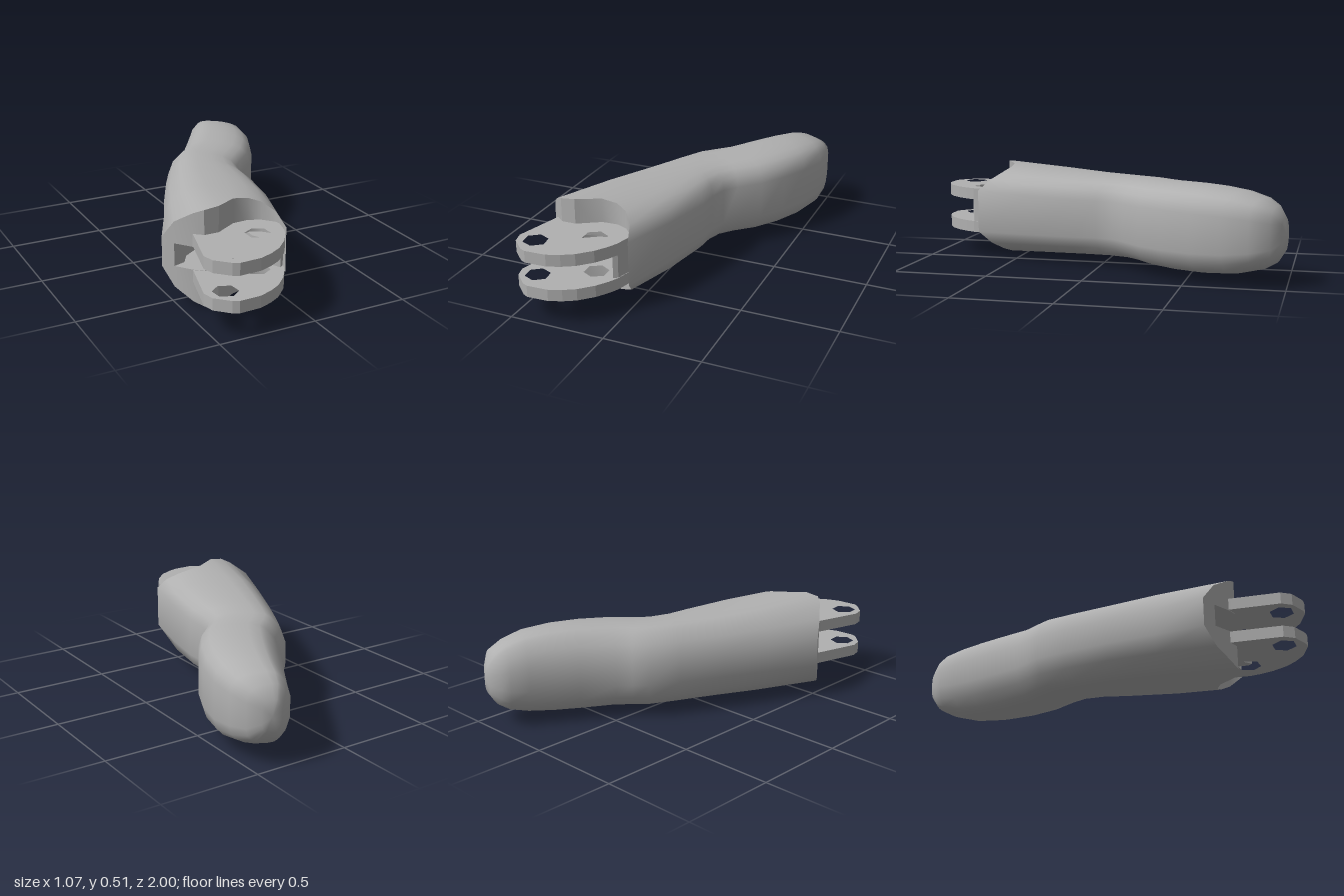
import * as THREE from 'three';
import { toCreasedNormals } from 'three/addons/utils/BufferGeometryUtils.js';

const MID = 0.255; // height of the horizontal mirror plane

// Cross-section profile: [position across, share of the half height]
const PROFILE = [[0, 0.3], [0.07, 0.66], [0.185, 0.89], [0.26, 0.97], [0.4, 1], [0.61, 0.98],
  [0.76, 0.93], [0.87, 0.85], [0.96, 0.7], [1, 0.45]];

// Stations along the finger: left x, z, right x, z, half height
const STATIONS = [
  [-0.54, 0.47, 0, 0.72, 0.255], [-0.42, 0.23, 0.09, 0.4, 0.235], [-0.31, -0.01, 0.145, 0.13, 0.222],
  [-0.2, -0.23, 0.15, 0.015, 0.218], [-0.12, -0.375, 0.175, -0.08, 0.217], [-0.06, -0.435, 0.23, -0.15, 0.217],
  [0, -0.49, 0.33, -0.25, 0.219], [0.1, -0.645, 0.415, -0.38, 0.221], [0.17, -0.755, 0.485, -0.53, 0.217],
  [0.235, -0.86, 0.53, -0.69, 0.203], [0.28, -0.94, 0.532, -0.82, 0.175], [0.315, -0.972, 0.51, -0.92, 0.14],
  [0.37, -1, 0.46, -0.97, 0.08],
];

// Depth of the open front end at each profile column, and of the recess in it
const FRONT_Z = [0.47, 0.53, 0.61, 0.645, 0.645, 0.575, 0.57, 0.595, 0.65, 0.72];
const RECESS = [0, 0, 0.1, 0.2, 0.25, 0.2, 0.12, 0, 0, 0];

function sectionPoint(s, i, side) {
  const [lx, lz, rx, rz, h] = STATIONS[s];
  const [u, k] = PROFILE[i];
  const z = s === 0 ? FRONT_Z[i] : lz + (rz - lz) * u;
  return [lx + (rx - lx) * u, MID + side * h * k, z];
}

function makeGeometry(points, index) {
  const g = new THREE.BufferGeometry();
  g.setAttribute('position', new THREE.Float32BufferAttribute(points.flat(), 3));
  g.setIndex(index);
  return g;
}

// Lofted skin, closed at the tip
function skinGeometry() {
  const points = [], index = [], n = PROFILE.length, ring = 2 * n;
  STATIONS.forEach((_, s) => {
    for (let i = 0; i < n; i++) points.push(sectionPoint(s, i, 1));
    for (let i = n - 1; i >= 0; i--) points.push(sectionPoint(s, i, -1));
  });
  const last = (STATIONS.length - 1) * ring;
  points.push([0.42, MID, -0.995]);
  for (let j = 0; j < ring; j++) {
    const k = (j + 1) % ring;
    for (let o = 0; o < last; o += ring) {
      index.push(o + j, o + k, o + ring + j, o + k, o + ring + k, o + ring + j);
    }
    index.push(points.length - 1, last + j, last + k);
  }
  return toCreasedNormals(makeGeometry(points, index), 0.9);
}

// Curved front face with a recessed slot
function frontGeometry() {
  const points = [], index = [], rows = 6;
  PROFILE.forEach((_, i) => {
    const [x, top, z] = sectionPoint(0, i, 1);
    const bottom = sectionPoint(0, i, -1)[1];
    [bottom, 0.195, 0.195, 0.312, 0.312, top].forEach((y, r) => {
      points.push([x, y, r === 2 || r === 3 ? z - RECESS[i] : z]);
    });
  });
  for (let i = 0; i < PROFILE.length - 1; i++) {
    for (let r = 0; r < rows - 1; r++) {
      const p = i * rows + r, q = p + rows;
      index.push(p, q, p + 1, q, q + 1, p + 1);
    }
  }
  return toCreasedNormals(makeGeometry(points, index), 0.5);
}

// Horizontal slab from a plan outline of [x, z] points
function slabGeometry(outline, bottom, top, holes = []) {
  const shape = new THREE.Shape(outline.map(([x, z]) => new THREE.Vector2(x, z)));
  holes.forEach(([cx, cz, r, turn]) => {
    const hole = [];
    for (let i = 0; i < 6; i++) {
      const a = turn - i * Math.PI / 3;
      hole.push(new THREE.Vector2(cx + r * Math.cos(a), cz + r * Math.sin(a)));
    }
    shape.holes.push(new THREE.Path(hole));
  });
  const g = new THREE.ExtrudeGeometry(shape, { depth: top - bottom, bevelEnabled: false });
  return g.rotateX(Math.PI / 2).translate(0, top, 0);
}

export function createModel() {
  const grey = new THREE.MeshStandardMaterial({ color: 0xb0b0b0 });
  grey.name = 'grey';
  const model = new THREE.Group();
  model.name = 'jointedFingertip';
  const add = (name, geometry) => {
    const mesh = new THREE.Mesh(geometry, grey);
    mesh.name = name;
    model.add(mesh);
  };

  add('fingerBody', skinGeometry());
  add('frontFace', frontGeometry());

  // Pair of hinge plates with pin holes
  const plate = [[-0.42, 0.52], [-0.445, 0.62], [-0.51, 0.86], [-0.495, 0.92], [-0.43, 0.985], [-0.4, 1],
    [-0.29, 0.995], [-0.225, 0.97], [-0.165, 0.935], [-0.1, 0.87], [-0.06, 0.81], [-0.035, 0.76],
    [-0.01, 0.66], [-0.05, 0.52]];
  const holes = [[-0.41, 0.88, 0.063, 0.4], [-0.165, 0.737, 0.063, 0.5]];
  add('lowerHingePlate', slabGeometry(plate, 0.132, 0.193, holes));
  add('upperHingePlate', slabGeometry(plate, 0.316, 0.378, holes));

  // Web joining the plates along one edge
  const web = [[-0.13, 0.54], [-0.13, 0.62], [-0.09, 0.7], [-0.058, 0.77], [-0.037, 0.755], [-0.012, 0.66], [-0.05, 0.54]];
  add('hingeWeb', slabGeometry(web, 0.193, 0.316));
  return model;
}
